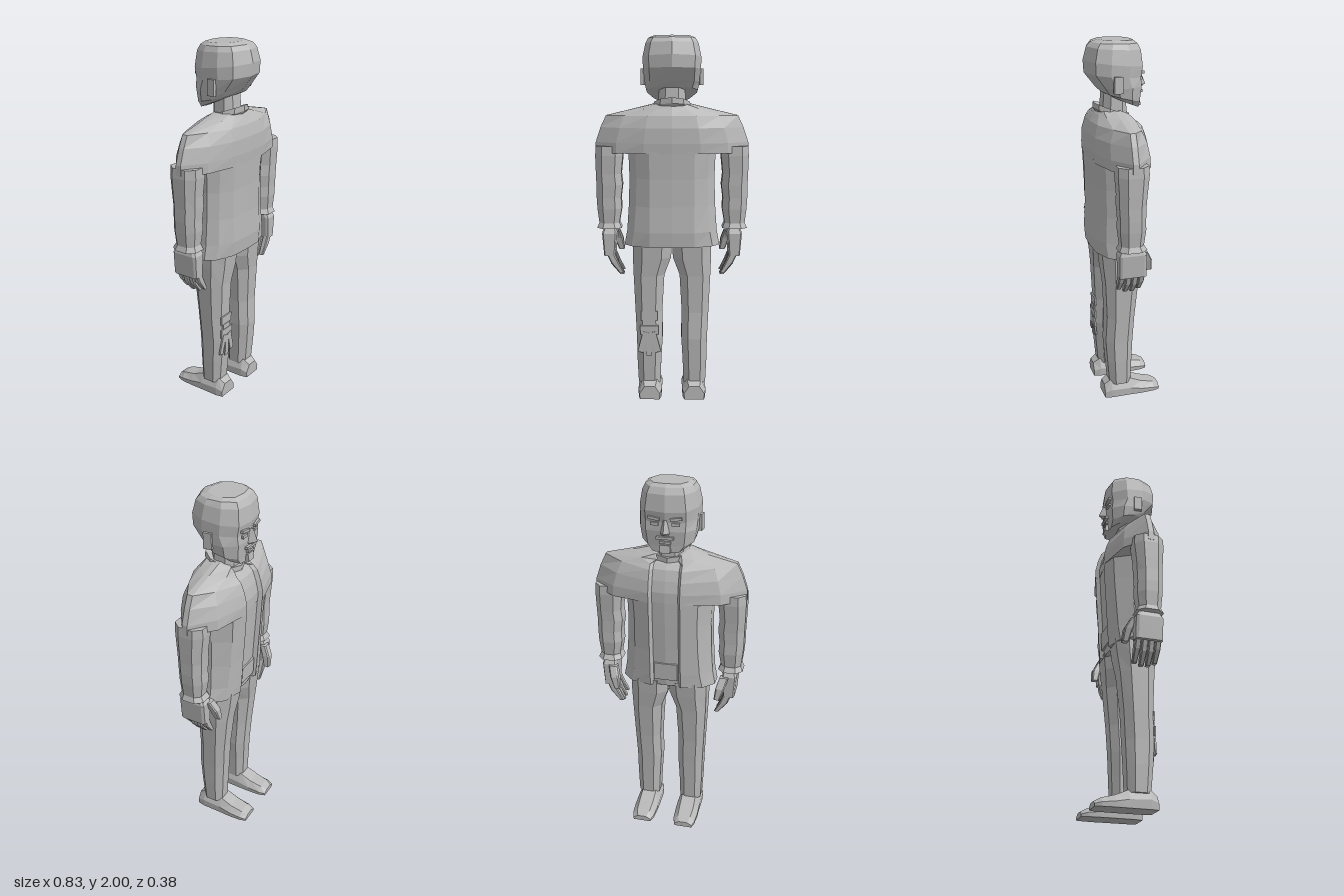
import * as THREE from 'three';

const grey = new THREE.MeshStandardMaterial({ color: 0xb8b8b8, flatShading: true });
grey.name = 'plain grey';

// Skin a stack of equal-length rings of [x, y, z], with capped ends, always facing outwards
function loft(rings) {
  const tris = [], n = rings[0].length;
  const mid = r => [0, 1, 2].map(k => r.reduce((s, p) => s + p[k], 0) / n);
  for (let i = 0; i < rings.length - 1; i++)
    for (let j = 0; j < n; j++) {
      const k = (j + 1) % n, a = rings[i][j], b = rings[i][k], c = rings[i + 1][k], d = rings[i + 1][j];
      tris.push([a, b, c], [a, c, d]);
    }
  const first = rings[0], last = rings[rings.length - 1], m0 = mid(first), m1 = mid(last);
  for (let j = 0; j < n; j++) {
    const k = (j + 1) % n;
    tris.push([first[k], first[j], m0], [last[j], last[k], m1]);
  }
  let volume = 0;
  for (const [a, b, c] of tris)
    volume += a[0] * (b[1] * c[2] - b[2] * c[1]) + a[1] * (b[2] * c[0] - b[0] * c[2]) + a[2] * (b[0] * c[1] - b[1] * c[0]);
  if (volume < 0) tris.forEach(t => t.reverse());
  const g = new THREE.BufferGeometry();
  g.setAttribute('position', new THREE.Float32BufferAttribute(tris.flat(2), 3));
  g.computeVertexNormals();
  return g;
}

// Complete a half ring (back centre to front centre) by mirroring it in x
const whole = half => [...half, ...half.slice(1, -1).reverse().map(([x, y, z]) => [-x, y, z])];

// Eight-sided horizontal ring between x and z limits
function oct(y, x0, x1, z0, z1, c = 0.5) {
  const cx = (x0 + x1) / 2, cz = (z0 + z1) / 2, rx = (x1 - x0) / 2, rz = (z1 - z0) / 2;
  return [[1, c], [c, 1], [-c, 1], [-1, c], [-1, -c], [-c, -1], [c, -1], [1, -c]]
    .map(([u, v]) => [cx + u * rx, y, cz + v * rz]);
}

export function createModel() {
  const root = new THREE.Group();
  const add = (name, geometry, parent = root) => {
    const m = new THREE.Mesh(geometry, grey);
    m.name = name;
    parent.add(m);
    return m;
  };
  const box = (name, w, h, d, x, y, z, rx = 0, ry = 0, rz = 0) => {
    const m = add(name, new THREE.BoxGeometry(w, h, d));
    m.position.set(x, y, z);
    m.rotation.set(rx, ry, rz);
    return m;
  };

  // Jacket body with a recessed shirt front between the lapels
  const body = (y, w, b, f) => whole([[0, y, b], [0.12, y, b - 0.005], [w - 0.04, y, b - 0.045], [w, y, 0.07],
    [w, y, -0.01], [w - 0.06, y, f + 0.03], [0.085, y, f], [0.07, y, f + 0.022], [0, y, f + 0.015]]);
  add('jacketBody', loft([
    body(0.88, 0.26, 0.165, -0.105), body(0.96, 0.245, 0.172, -0.112), body(1.1, 0.235, 0.165, -0.12),
    body(1.25, 0.23, 0.165, -0.13), body(1.4, 0.235, 0.172, -0.138)]));

  // Lens-shaped shoulders: back and front heights may differ
  const yoke = (y, yf, w, b, f, s) => whole([[0, y, b], [0.36 * w, y, b - 0.008], [0.72 * w, y, 0.03 + (b - 0.03) * s],
    [w, y, 0.045], [w, y, 0.015], [0.7 * w, (y + yf) / 2, 0.02 + (f - 0.02) * s],
    [Math.min(0.085, w * 0.6), yf, f], [Math.min(0.07, w * 0.5), yf, f + 0.02], [0, yf, f + 0.015]]);
  add('shoulders', loft([
    yoke(1.385, 1.385, 0.414, 0.172, -0.138, 0.68), yoke(1.44, 1.44, 0.412, 0.176, -0.138, 0.66),
    yoke(1.52, 1.5, 0.385, 0.174, -0.125, 0.64), yoke(1.583, 1.555, 0.355, 0.158, -0.105, 0.55),
    yoke(1.62, 1.58, 0.2, 0.135, -0.08, 0.7), yoke(1.645, 1.595, 0.1, 0.12, -0.05, 0.8)]));
  box('shirtHem', 0.13, 0.1, 0.012, 0, 0.97, -0.098, -0.05);

  // Neck and tilted collar
  add('neck', loft([oct(1.58, -0.075, 0.075, -0.035, 0.1), oct(1.77, -0.068, 0.068, -0.03, 0.085)]));
  const collarRing = (y, rx, rz, tilt) => Array.from({ length: 10 }, (_, i) => {
    const a = i / 10 * Math.PI * 2, z = Math.cos(a) * rz;
    return [Math.sin(a) * rx, y + z * tilt, 0.04 + z];
  });
  add('collar', loft([collarRing(1.6, 0.085, 0.085, 0.35), collarRing(1.615, 0.108, 0.1, 0.35),
    collarRing(1.645, 0.1, 0.1, 0.35), collarRing(1.635, 0.078, 0.078, 0.35)]));

  // Head, from jaw to flat crown
  const skull = (yb, yf, w, b, f) => {
    const at = (x, t) => [x, yb + (yf - yb) * t, b + (f - b) * t];
    return whole([at(0, 0), at(w * 0.78, 0.12), at(w, 0.36), at(w * 0.98, 0.68), at(w * 0.68, 0.94), at(0, 1)]);
  };
  add('head', loft([
    skull(1.715, 1.65, 0.1, 0.06, -0.098), skull(1.735, 1.685, 0.138, 0.1, -0.1),
    skull(1.765, 1.765, 0.15, 0.13, -0.11), skull(1.835, 1.81, 0.153, 0.186, -0.108),
    skull(1.9, 1.865, 0.155, 0.19, -0.118), skull(1.965, 1.95, 0.14, 0.172, -0.108),
    skull(1.988, 1.982, 0.125, 0.15, -0.09), skull(2, 1.997, 0.1, 0.11, -0.068)]));

  // Face
  add('nose', loft([[[0.012, 1.825, -0.1], [-0.012, 1.825, -0.1], [0, 1.825, -0.122]],
    [[0.028, 1.755, -0.1], [-0.028, 1.755, -0.1], [0, 1.762, -0.148]],
    [[0.02, 1.742, -0.1], [-0.02, 1.742, -0.1], [0, 1.748, -0.125]]]));
  box('moustache', 0.09, 0.014, 0.02, 0, 1.733, -0.108);
  box('lowerLip', 0.06, 0.012, 0.016, 0, 1.708, -0.104);
  box('goatee', 0.055, 0.04, 0.025, 0, 1.672, -0.1, 0.15);

  for (const s of [1, -1]) {
    const side = s > 0 ? 'left' : 'right';
    const flip = rings => rings.map(r => r.map(([x, y, z]) => [s * x, y, z]));
    box(side + 'Ear', 0.02, 0.085, 0.045, s * 0.155, 1.785, 0.045, 0, s * 0.1);
    box(side + 'Brow', 0.06, 0.014, 0.016, s * 0.057, 1.832, -0.108, 0, -s * 0.08, s * 0.12);
    box(side + 'Eye', 0.042, 0.016, 0.012, s * 0.055, 1.803, -0.104, 0, -s * 0.08);

    // Sleeve with soft folds and a flared cuff
    add(side + 'Sleeve', loft(flip([
      oct(1.42, 0.27, 0.41, -0.05, 0.11), oct(1.37, 0.265, 0.414, -0.052, 0.112), oct(1.27, 0.275, 0.412, -0.042, 0.105),
      oct(1.21, 0.268, 0.41, -0.038, 0.104), oct(1.14, 0.277, 0.41, -0.036, 0.1), oct(1.08, 0.274, 0.407, -0.038, 0.1),
      oct(1.0, 0.288, 0.398, -0.028, 0.092), oct(0.972, 0.275, 0.41, -0.045, 0.105), oct(0.97, 0.3, 0.385, -0.02, 0.085)])));

    // Hand: palm, four curled fingers and thumb
    add(side + 'Palm', loft(flip([
      oct(0.985, 0.305, 0.37, -0.02, 0.08, 0.7), oct(0.945, 0.302, 0.382, -0.045, 0.102, 0.8),
      oct(0.82, 0.312, 0.372, -0.045, 0.1, 0.8)])));
    for (let i = 0; i < 4; i++) {
      const z = -0.042 + i * 0.036, drop = [0.012, 0, 0.002, 0.018][i];
      add(side + 'Finger', loft(flip([
        oct(0.84, 0.318, 0.362, z, z + 0.032, 0.7), oct(0.765 + drop, 0.293, 0.336, z, z + 0.032, 0.7),
        oct(0.707 + drop, 0.264, 0.288, z + 0.004, z + 0.028, 0.7)])));
    }
    add(side + 'Thumb', loft(flip([
      oct(0.945, 0.292, 0.34, -0.06, -0.02, 0.7), oct(0.89, 0.275, 0.325, -0.09, -0.045, 0.7),
      oct(0.825, 0.268, 0.3, -0.096, -0.062, 0.7)])));

    // Trouser leg
    add(side + 'Leg', loft(flip([
      oct(0.9, 0, 0.215, -0.09, 0.14), oct(0.81, 0.005, 0.215, -0.08, 0.132), oct(0.71, 0.042, 0.212, -0.066, 0.122),
      oct(0.5, 0.054, 0.203, -0.045, 0.113), oct(0.35, 0.052, 0.196, -0.036, 0.12), oct(0.22, 0.06, 0.194, -0.03, 0.11),
      oct(0.08, 0.065, 0.188, -0.025, 0.098)])));

    // Shoe, lofted from heel to toe
    const sole = (z, a, b, t) => [[a, 0, z], [b, 0, z], [b + 0.002, t * 0.45, z], [b - 0.025, t, z],
      [a + 0.025, t, z], [a - 0.002, t * 0.45, z]];
    add(side + 'Shoe', loft(flip([
      sole(0.13, 0.07, 0.18, 0.075), sole(0.09, 0.06, 0.188, 0.105), sole(-0.02, 0.058, 0.188, 0.095),
      sole(-0.09, 0.058, 0.19, 0.065), sole(-0.16, 0.062, 0.186, 0.048), sole(-0.195, 0.075, 0.175, 0.03)])));
  }

  // Small raised patch on the back of one trouser leg
  const patch = [[0.09, 0.05, 0, 0.485, 0], [0.06, 0.03, 0, 0.445, 0], [0.1, 0.05, 0, 0.405, 0],
    [0.03, 0.12, -0.035, 0.335, -0.25], [0.03, 0.13, 0, 0.32, 0], [0.03, 0.12, 0.035, 0.335, 0.25]];
  for (const [w, h, x, y, tilt] of patch)
    box('calfPatch', w, h, 0.009, -0.126 + x, y, 0.119 - Math.max(0, y - 0.4) * 0.04, 0.03, 0, tilt);

  return root;
}
